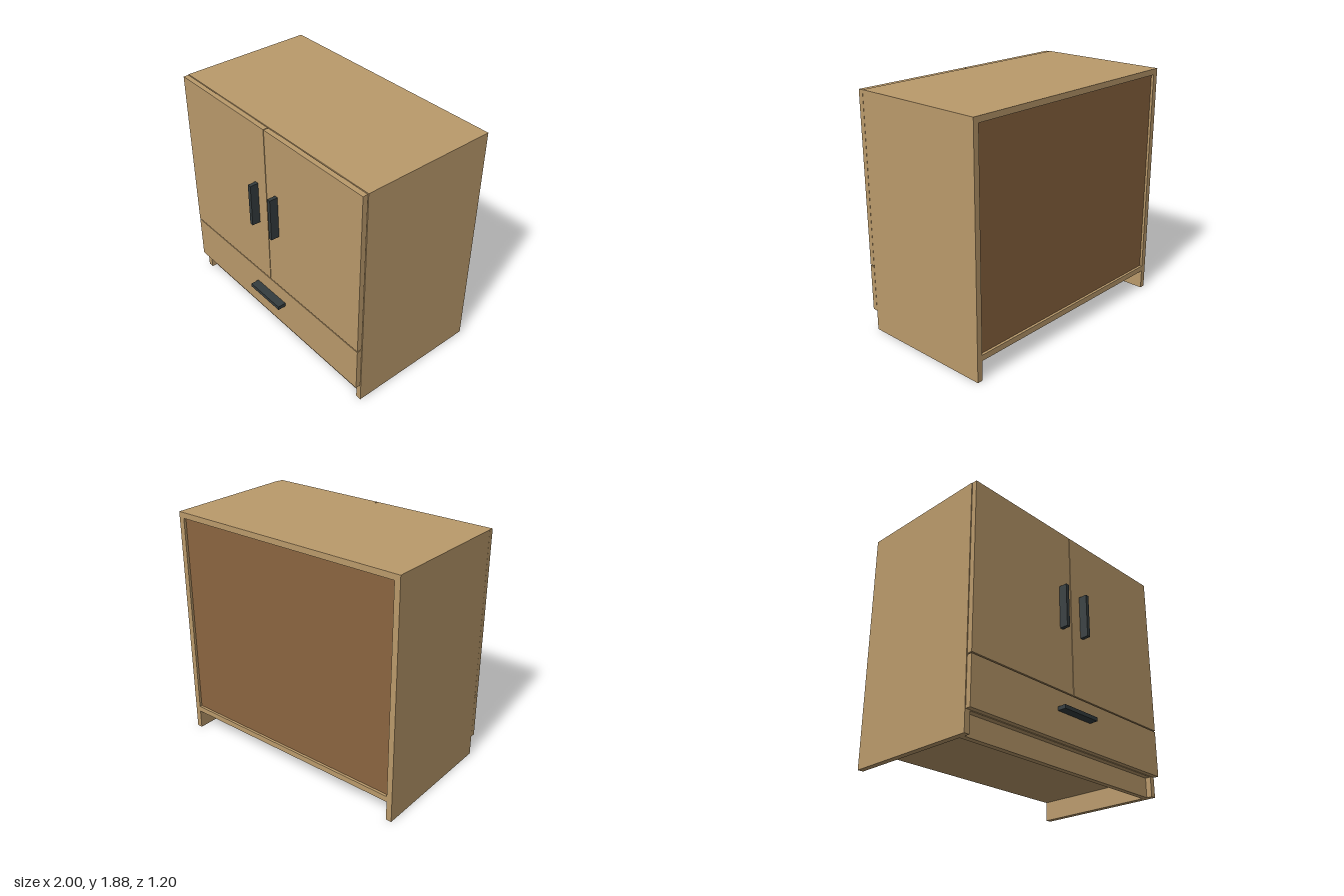
import * as THREE from 'three';

const mat = (name, color) => Object.assign(new THREE.MeshStandardMaterial({ color }), { name });

export function createModel() {
  const wood = mat('lightWood', 0xba9a6b);
  const backing = mat('brownBacking', 0x8b6540);
  const metal = mat('darkHandle', 0x343c3e);

  const model = new THREE.Group();
  model.name = 'cabinet';

  // Adds a board spanning the given ranges on each axis
  const board = (name, [x0, x1], [y0, y1], [z0, z1], material = wood, parent = model) => {
    const mesh = new THREE.Mesh(new THREE.BoxGeometry(x1 - x0, y1 - y0, z1 - z0), material);
    mesh.name = name;
    mesh.position.set((x0 + x1) / 2, (y0 + y1) / 2, (z0 + z1) / 2);
    parent.add(mesh);
    return mesh;
  };

  const T = 0.045; // board thickness
  const H = 1.875; // overall height
  const inner = 1 - T;
  const back = -0.598, front = 0.485;
  const faceZ = [0.49, 0.53];
  const gripZ = [0.53, 0.598];
  const inside = [-inner, inner];

  // Carcass
  board('topPanel', inside, [H - T, H], [back, front]);
  board('bottomPanel', inside, [0.155, 0.155 + T], [back, front]);
  board('middleShelf', inside, [0.535, 0.535 + T], [back + 0.04, front]);
  board('centrePartition', [-T / 2, T / 2], [0.535 + T, H - T], [back + 0.04, front]);
  board('backPanel', inside, [0.155 + T, H - T], [back + 0.02, back + 0.04], backing);
  board('plinth', inside, [0, 0.155], [front - 2 * T, front - T]);

  // Sides, doors and door handles, mirrored
  for (const [side, s] of [['left', 1], ['right', -1]]) {
    const span = (a, b) => (s > 0 ? [a, b] : [-b, -a]);
    board(side + 'SidePanel', span(inner, 1), [0, H], [back, front]);
    const door = new THREE.Group();
    door.name = side + 'Door';
    model.add(door);
    board(side + 'DoorPanel', span(0.003, 0.998), [0.535, 1.872], faceZ, wood, door);
    board(side + 'DoorHandle', span(0.1, 0.13), [1.03, 1.38], gripZ, metal, door);
    board(side + 'DrawerSide', span(0.9, 0.93), [0.22, 0.44], [-0.5, faceZ[0]]);
  }

  // Drawer
  board('drawerFront', [-0.998, 0.998], [0.158, 0.526], faceZ);
  board('drawerHandle', [-0.175, 0.175], [0.37, 0.4], gripZ, metal);
  board('drawerBase', [-0.9, 0.9], [0.22, 0.24], [-0.5, faceZ[0]]);
  board('drawerBack', [-0.9, 0.9], [0.24, 0.44], [-0.5, -0.47]);

  return model;
}
